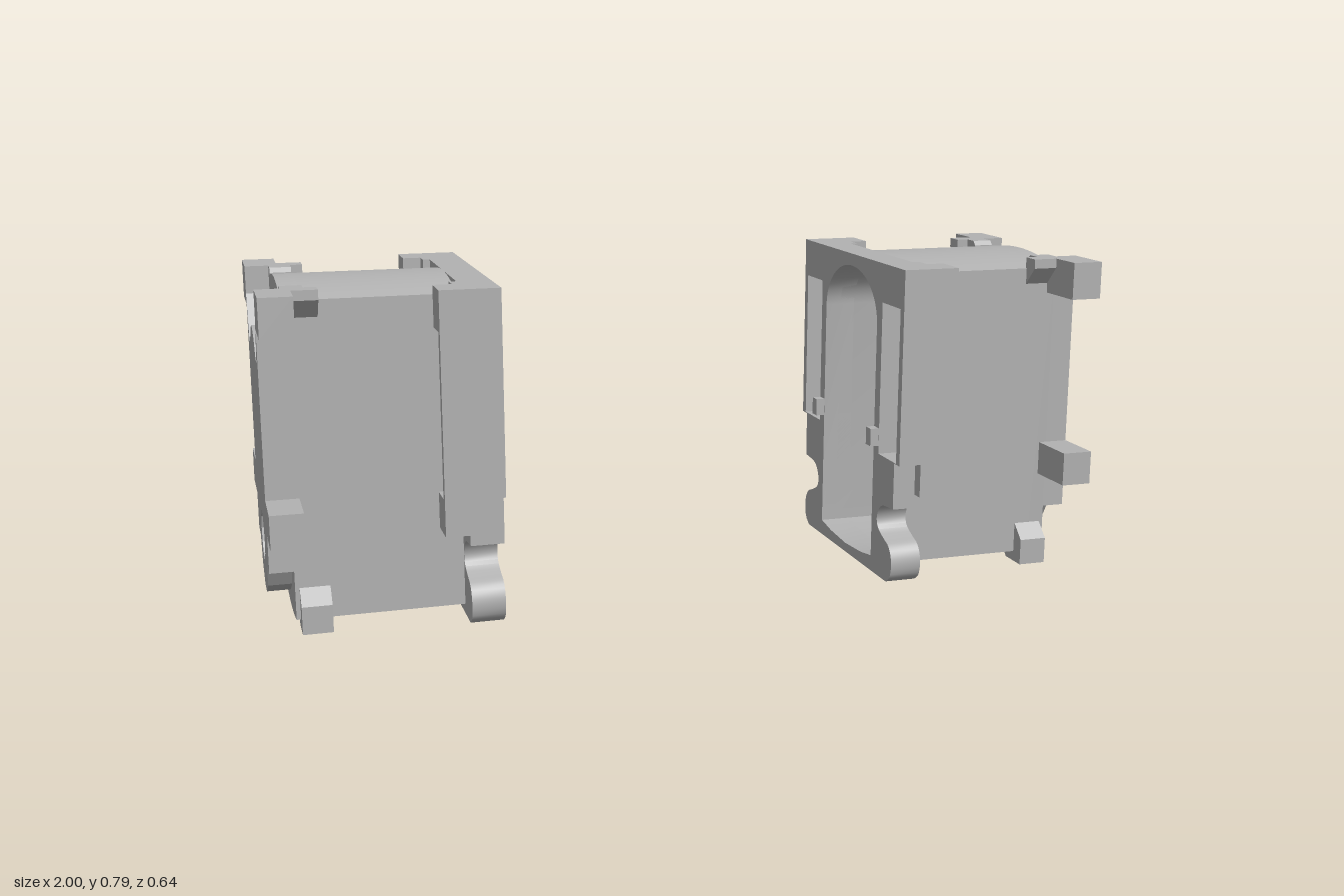
import * as THREE from 'three';
import { toCreasedNormals } from 'three/addons/utils/BufferGeometryUtils.js';

const grey = new THREE.MeshStandardMaterial({ color: 0xb2b2b2 });
grey.name = 'grey';

const vec = (pts) => pts.map(([z, y]) => new THREE.Vector2(-z, y));
// right half outline (z, y) from top to bottom, closed by its own mirror image
const mirrored = (half) => [...half, ...half.slice().reverse().map(([z, y]) => [-z, y])];

// extrude a (z, y) outline along x from x0 to x1
function slab(name, outline, x0, x1, holes = []) {
  const shape = new THREE.Shape(vec(outline));
  holes.forEach((h) => shape.holes.push(new THREE.Path(vec(h))));
  const flat = new THREE.ExtrudeGeometry(shape, { depth: x1 - x0, bevelEnabled: false });
  flat.rotateY(Math.PI / 2).translate(x0, 0, 0);
  const mesh = new THREE.Mesh(toCreasedNormals(flat, 0.5), grey);
  mesh.name = name;
  return mesh;
}

function box(name, x0, x1, y0, y1, z0, z1) {
  const mesh = new THREE.Mesh(new THREE.BoxGeometry(x1 - x0, y1 - y0, Math.abs(z1 - z0)), grey);
  mesh.position.set((x0 + x1) / 2, (y0 + y1) / 2, (z0 + z1) / 2);
  mesh.name = name;
  return mesh;
}

const rect = (z0, z1, y0, y1) => [[z0, y0], [z1, y0], [z1, y1], [z0, y1]];

function createHousing() {
  const g = new THREE.Group();

  // domed outline of the body and its arched cavity
  const bodyHalf = [];
  for (let i = 0; i <= 8; i++) {
    const t = i / 8;
    bodyHalf.push([0.001 + 0.193 * t, 0.785 - 0.027 * t * t]);
  }
  for (let i = 8; i >= 0; i--) {
    const t = i / 8;
    bodyHalf.push([0.001 + 0.193 * t, 0.004 + 0.021 * t * t]);
  }
  const body = mirrored(bodyHalf);
  const cavityHalf = [];
  for (let i = 0; i <= 10; i++) {
    const a = (i / 10) * Math.PI / 2;
    cavityHalf.push([0.001 + 0.164 * Math.sin(a), 0.63 + 0.125 * Math.cos(a)]);
  }
  cavityHalf.push([0.165, 0.04], [0.1, 0.03], [0.001, 0.024]);
  const cavity = mirrored(cavityHalf);
  g.add(slab('bodyShell', body, 0.52, 0.9, [cavity]));
  g.add(slab('endWall', body, 0.9, 0.945));

  // raised end pad with round socket
  const pad = mirrored([
    [0.001, 0.675], [0.06, 0.66], [0.115, 0.615], [0.145, 0.615], [0.194, 0.72],
    [0.194, 0.14], [0.13, 0.14], [0.095, 0.08], [0.03, 0.045],
  ]);
  const socket = [];
  for (let i = 0; i < 12; i++) {
    const a = (i / 12) * Math.PI * 2;
    socket.push([0.06 * Math.sin(a), 0.176 + 0.06 * Math.cos(a)]);
  }
  g.add(slab('endPad', pad, 0.945, 1, [socket]));

  // open-end flange with rounded lugs, cavity opening and side windows
  const lug = new THREE.CatmullRomCurve3([
    [0.29, 0.194], [0.225, 0.187], [0.205, 0.17], [0.196, 0.145], [0.205, 0.125], [0.24, 0.107],
    [0.268, 0.096], [0.284, 0.077], [0.29, 0.05], [0.282, 0.018], [0.26, 0.001],
  ].map(([z, y]) => new THREE.Vector3(z, y, 0))).getPoints(24).map((p) => [p.x, p.y]);
  const flange = mirrored([[0.32, 0.785], [0.32, 0.31], [0.29, 0.31], ...lug]);
  const windows = [1, -1].map((s) => rect(s * 0.195, s * 0.3, 0.312, 0.69));
  g.add(slab('flange', flange, 0.48, 0.558, [cavity, ...windows]));

  for (const s of [1, -1]) {
    // window frame behind the flange, open toward the body
    const frame = (z) => [
      [z, 0.785], [0.32, 0.785], [0.32, 0.228], [z, 0.228],
      [z, 0.312], [0.3, 0.312], [0.3, 0.69], [z, 0.69],
    ].map(([a, b]) => [s * a, b]);
    g.add(slab('windowFrame', frame(0.194), 0.536, 0.575));
    g.add(slab('windowFrameLip', frame(0.235), 0.575, 0.618));
    g.add(box('stud', 0.458, 0.485, 0.332, 0.376, s * 0.166, s * 0.194));

    // upper corner block with its inner cap and bracket
    g.add(box('upperCorner', 0.925, 1, 0.695, 0.785, s * 0.194, s * 0.32));
    g.add(box('cornerCap', 0.866, 0.945, 0.762, 0.785, s * 0.19, s * 0.234));
    g.add(slab('cornerBracket', [[0.19, 0.762], [0.234, 0.762], [0.19, 0.715]]
      .map(([z, y]) => [s * z, y]), 0.866, 0.93));
    g.add(slab('capTab', [[0.194, 0.785], [0.155, 0.785], [0.145, 0.774], [0.145, 0.75], [0.194, 0.75]]
      .map(([z, y]) => [s * z, y]), 0.895, 0.945));

    // lower corner block and chamfered foot
    g.add(box('lowerCorner', 0.925, 1, 0.228, 0.31, s * 0.19, s * 0.32));
    g.add(slab('foot', [[0.155, 0], [0.23, 0], [0.23, 0.065], [0.193, 0.101], [0.19, 0.03], [0.145, 0.012]]
      .map(([z, y]) => [s * z, y]), 0.866, 0.935));
  }
  return g;
}

export function createModel() {
  const model = new THREE.Group();
  model.name = 'housingPair';
  // each housing is symmetric in z, so a half turn makes the opposite one
  ['left', 'right'].forEach((side, i) => {
    const housing = createHousing();
    housing.name = side + 'Housing';
    housing.rotation.y = i * Math.PI;
    model.add(housing);
  });
  return model;
}
